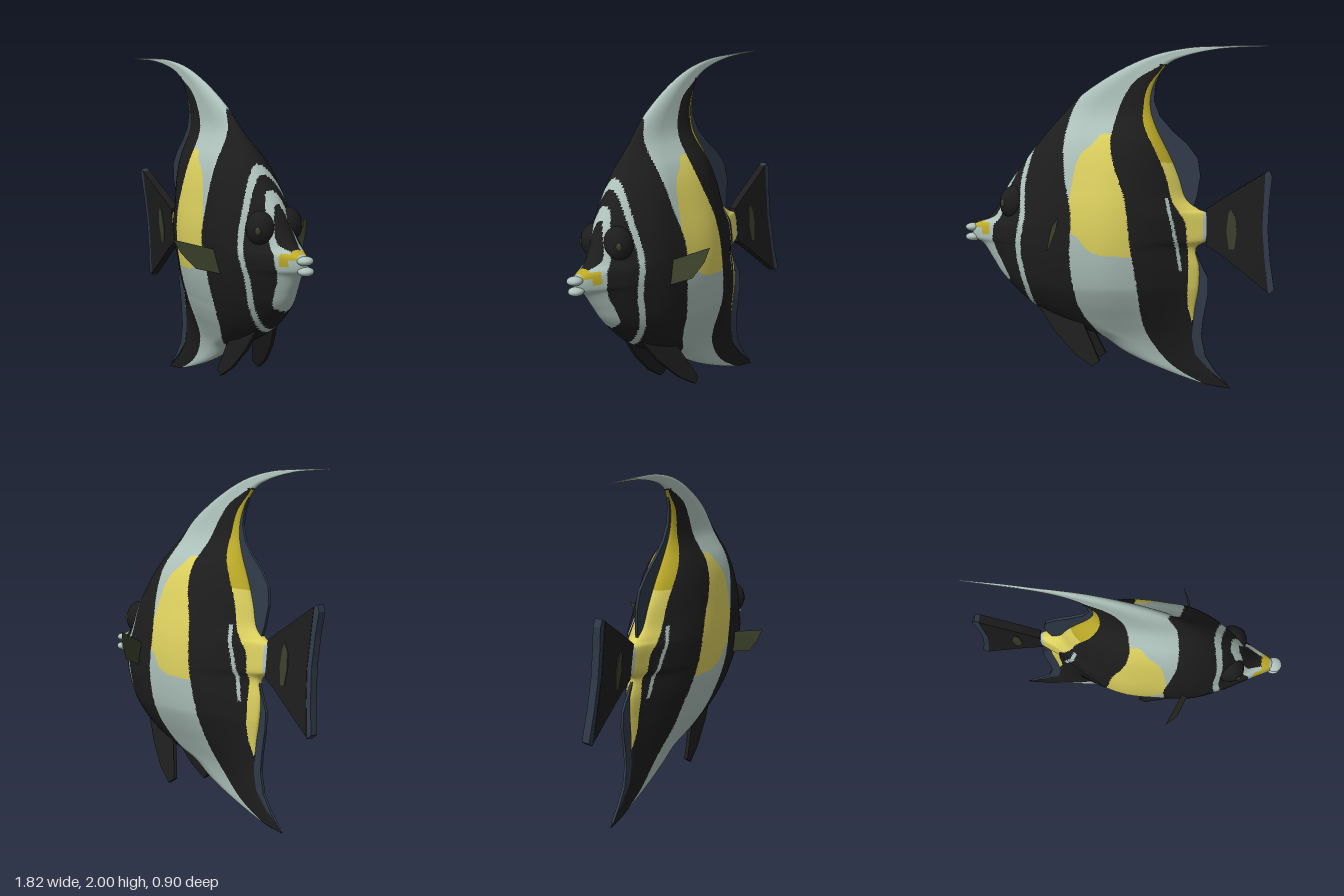
import * as THREE from 'three';

const mat = (name, color, side = THREE.FrontSide) => {
  const m = new THREE.MeshStandardMaterial({ color, side });
  m.name = name;
  return m;
};

// smooth curve through [key, value] pairs, clamped at both ends
function curve(pts) {
  const n = pts.length;
  const slope = i => {
    const a = pts[Math.max(0, i - 1)], b = pts[Math.min(n - 1, i + 1)];
    return (b[1] - a[1]) / (b[0] - a[0]);
  };
  return k => {
    if (k <= pts[0][0]) return pts[0][1];
    if (k >= pts[n - 1][0]) return pts[n - 1][1];
    let i = 0;
    while (k > pts[i + 1][0]) i++;
    const w = pts[i + 1][0] - pts[i][0], t = (k - pts[i][0]) / w, t2 = t * t, t3 = t2 * t;
    return (2 * t3 - 3 * t2 + 1) * pts[i][1] + (t3 - 2 * t2 + t) * w * slope(i)
      + (3 * t2 - 2 * t3) * pts[i + 1][1] + (t3 - t2) * w * slope(i + 1);
  };
}

// the fish is turned and leans a little: x, y on its middle plane, h out of it
const place = (x, y, h) => [
  x - 0.13 * h, y - 0.07 * h,
  -0.067 + 0.13 * x + 0.11 * (Math.max(y, 0.6) - 0.95) + h,
];
function placeAll(geo, offset = () => 0) {
  const p = geo.attributes.position;
  for (let i = 0; i < p.count; i++) {
    const x = p.getX(i), y = p.getY(i);
    p.setXYZ(i, ...place(x, y, p.getZ(i) + offset(x, y)));
  }
  geo.computeVertexNormals();
  return geo;
}

// matching points on the front and rear outline, from dorsal tip to anal fin tip
const FRONT = [[-.87, 2], [-.6, 1.997], [-.4, 1.985], [-.2, 1.94], [0, 1.85], [.2, 1.72], [.32, 1.6], [.45, 1.45],
  [.55, 1.32], [.65, 1.18], [.71, 1.06], [.77, .985], [.86, .94], [.86, .87], [.8, .83], [.74, .74],
  [.67, .64], [.5, .48], [.3, .37], [.1, .3], [-.05, .2], [-.25, .11], [-.5, .025], [-.66, 0]];
const REAR = [[-.87, 1.995], [-.6, 1.98], [-.4, 1.94], [-.28, 1.88], [-.21, 1.76], [-.195, 1.64], [-.23, 1.52], [-.31, 1.36],
  [-.36, 1.24], [-.4, 1.12], [-.47, 1.06], [-.53, 1.03], [-.54, .95], [-.53, .88], [-.46, .83], [-.48, .72],
  [-.475, .6], [-.455, .47], [-.45, .35], [-.46, .25], [-.5, .16], [-.56, .09], [-.63, .03], [-.67, 0]];

// half thickness by height, and its share by length
const thickY = curve([[0, .015], [.1, .028], [.2, .04], [.3, .068], [.4, .115], [.5, .165], [.6, .205], [.75, .24], [.9, .255],
  [1.05, .25], [1.2, .225], [1.35, .19], [1.45, .15], [1.52, .105], [1.58, .07], [1.65, .05], [1.8, .035], [2, .02]]);
const thickX = curve([[-.5, .3], [-.4, .4], [-.3, .6], [-.2, .77], [0, 1], [.2, 1], [.4, .92], [.6, .7], [.7, .54],
  [.8, .42], [.9, .36]]);

// borders of the markings
const trimX = curve([[.4, -.44], [.5, -.42], [.7, -.425], [.85, -.42], [.98, -.41], [1.1, -.34], [1.25, -.3], [1.37, -.25],
  [1.52, -.175], [1.6, -.158], [1.75, -.18], [1.88, -.27]]);
const lineX = curve([[.7, -.385], [.95, -.35], [1.12, -.31]]);
const paleRear = curve([[0, -.6], [.03, -.5], [.13, -.33], [.28, -.21], [.4, -.17], [.6, -.16], [.85, -.13], [1.1, -.1],
  [1.3, -.03], [1.45, 0], [1.6, -.015], [1.7, -.05], [1.8, -.12], [1.88, -.25]]);
const paleFront = curve([[.3, .08], [.33, .1], [.45, .17], [.6, .2], [.8, .21], [1, .2], [1.2, .24], [1.4, .27], [1.6, .26],
  [1.73, .2]]);
const patchFront = curve([[.78, .02], [.81, .1], [.87, .15], [.93, .21], [1.2, .2], [1.35, .165], [1.42, .1], [1.48, .06]]);
const cheekX = curve([[.45, .48], [.6, .5], [.8, .53], [1, .505], [1.2, .515], [1.4, .495], [1.5, .48]]);
const maskOuter = curve([[.6, 0], [.63, .065], [.7, .08], [.8, .08], [.9, .1], [1, .09], [1.1, .08], [1.2, .058],
  [1.27, .03], [1.3, 0]]);
const maskInner = curve([[.965, .03], [1, .06], [1.1, .047], [1.18, .024], [1.22, 0]]);

const BLACK = 0, PALE = 1, YELLOW = 2, GOLD = 3;
function marking(px, py, h) {
  const x = px - 0.13 * h, y = py - 0.07 * h;
  if (y > 1.89) return PALE;
  if (x < -.505 && y > .8 && y < 1.1) return PALE;
  if (y > .4 && y < 1.88 && x < trimX(y)) return y > 1.32 ? GOLD : YELLOW;
  if (y > .7 && y < 1.12 && Math.abs(x - lineX(y)) < .0085) return PALE;
  if (x > paleRear(y) && x < paleFront(y)) return y > .78 && y < 1.48 && x < patchFront(y) ? YELLOW : PALE;
  if (Math.abs(x - cheekX(y)) < .0175) return PALE;
  if (x > .735 && x < .785 && y > .885 && y < .955) return GOLD;
  if (x >= .785 && x < .835 && y > .925) return GOLD;
  if (x > .79) return PALE;
  if (x > .58 && h < maskOuter(y) && !(y > .965 && h < maskInner(y))) return PALE;
  return BLACK;
}

// body and long fins: one loft of closed rings, faces sorted by marking
function bodyGeometry() {
  const toCurve = pts => new THREE.CatmullRomCurve3(pts.map(p => new THREE.Vector3(p[0], p[1], 0)), false, 'catmullrom', 0.5);
  const front = toCurve(FRONT), rear = toCurve(REAR);
  const ROWS = 230, HALF = 150, RING = HALF * 2;
  const pos = [], flat = [], faces = [[], [], [], []];
  for (let i = 0; i <= ROWS; i++) {
    const f = front.getPoint(i / ROWS), b = rear.getPoint(i / ROWS), chord = f.distanceTo(b);
    for (let j = 0; j < RING; j++) {
      const k = (j <= HALF ? j : RING - j) / HALF;
      const t = 0.5 * k + 0.25 * (1 - Math.cos(Math.PI * k));
      const x = b.x + (f.x - b.x) * t, y = b.y + (f.y - b.y) * t;
      const edge = Math.min(1, Math.min(t, 1 - t) / 0.3);
      const h = Math.min(thickY(y) * thickX(x), chord * 0.5) * Math.sqrt(1 - (1 - edge) ** 2);
      pos.push(...place(x, y, j <= HALF ? h : -h));
      flat.push([x, y, h]);
    }
  }
  const tri = (...v) => {
    const mid = [0, 1, 2].map(c => (flat[v[0]][c] + flat[v[1]][c] + flat[v[2]][c]) / 3);
    faces[marking(...mid)].push(...v);
  };
  for (let i = 0; i < ROWS; i++) for (let j = 0; j < RING; j++) {
    const a = i * RING + j, b = i * RING + (j + 1) % RING, c = a + RING, d = b + RING;
    tri(c, d, b);
    tri(c, b, a);
  }
  const geo = new THREE.BufferGeometry();
  geo.setAttribute('position', new THREE.Float32BufferAttribute(pos, 3));
  geo.setIndex(faces.flat());
  let start = 0;
  faces.forEach((list, m) => { geo.addGroup(start, list.length, m); start += list.length; });
  geo.computeVertexNormals();
  return geo;
}

export function createModel() {
  const black = mat('black', 0x1d1d1d), pale = mat('pale grey', 0xadc1ba), yellow = mat('yellow', 0xdcd05e),
    gold = mat('gold', 0xbdab28), navy = mat('navy', 0x303a49), olive = mat('olive', 0x3b402b, THREE.DoubleSide);
  const fish = new THREE.Group();
  fish.name = 'reefFish';
  const add = (name, geo, material) => {
    const mesh = new THREE.Mesh(geo, material);
    mesh.name = name;
    fish.add(mesh);
  };
  const plate = (name, pts, depth, material, offset) => {
    const geo = new THREE.ExtrudeGeometry(new THREE.Shape(pts.map(p => new THREE.Vector2(...p))), { depth, bevelEnabled: false });
    add(name, placeAll(geo.translate(0, 0, -depth / 2), offset), material);
  };
  const ball = (name, [x, y, h], [sx, sy, sz], material) =>
    add(name, placeAll(new THREE.SphereGeometry(1, 24, 16).scale(sx, sy, sz).translate(x, y, h)), material);

  add('body', bodyGeometry(), [black, pale, yellow, gold]);

  // soft rear edges of the dorsal and anal fins
  plate('dorsalFringe', [[-.25, 1.84], [-.222, 1.77], [-.215, 1.68], [-.25, 1.59], [-.32, 1.51], [-.41, 1.43], [-.47, 1.35],
    [-.485, 1.25], [-.465, 1.13], [-.44, 1.05], [-.36, 1.15], [-.3, 1.33], [-.2, 1.54], [-.18, 1.66], [-.2, 1.77]], .016, navy);
  plate('analFringe', [[-.45, .83], [-.49, .74], [-.53, .66], [-.53, .56], [-.505, .42], [-.495, .31], [-.52, .19], [-.58, .1],
    [-.65, .02], [-.55, .1], [-.46, .2], [-.43, .35], [-.42, .6]], .016, navy);

  // tail fin with trailing edge and spot
  plate('tailFin', [[-.52, 1.06], [-.6, 1.115], [-.72, 1.19], [-.855, 1.275], [-.848, 1.12], [-.84, .95], [-.853, .77],
    [-.875, .585], [-.74, .69], [-.6, .8], [-.52, .85]], .05, black);
  plate('tailEdge', [[-.855, 1.275], [-.88, 1.29], [-.895, 1.25], [-.88, 1.12], [-.872, .95], [-.885, .77], [-.91, .6],
    [-.875, .575], [-.853, .77], [-.84, .95], [-.848, 1.12]], .045, navy);
  for (const s of [-1, 1])
    plate('tailSpot', [[-.66, 1.06], [-.685, 1.02], [-.695, .93], [-.68, .83], [-.65, .83], [-.635, .93], [-.645, 1.03]],
      .006, olive, () => s * .026);

  for (const s of [-1, 1]) {
    const side = s > 0 ? 'left' : 'right';
    // side fin, a thin slanting fan
    const fan = [[.36, .94, .2], [.40, .86, .2], [.385, .805, .2], [.33, .86, .36], [.285, .95, .42], [.265, 1.03, .45]];
    const geo = new THREE.BufferGeometry();
    geo.setAttribute('position', new THREE.Float32BufferAttribute(fan.flatMap(([x, y, h]) => [x, y, s * h]), 3));
    geo.setIndex([0, 1, 2, 0, 2, 3, 0, 3, 4, 0, 4, 5]);
    add(side + 'PectoralFin', placeAll(geo), olive);
    // belly fin, the right one spread wider
    const spread = s > 0 ? .1 : .35;
    plate(side + 'PelvicFin', [[.46, .48], [.36, .47], [.2, .41], [.15, .31], [.08, .17], [.12, .14], [.23, .21], [.36, .34]],
      .022, black, (x, y) => s * (.06 + spread * Math.max(0, .46 - y)));
    // brow and eye
    ball(side + 'Brow', [.595, 1.08, s * .085], [.085, .1, .082], black);
    ball(side + 'Eye', [.645, 1.08, s * .138], [.02, .026, .016], olive);
  }

  // parted lips
  ball('upperLip', [.866, .925, 0], [.044, .025, .045], pale);
  ball('lowerLip', [.864, .867, 0], [.046, .025, .043], pale);
  return fish;
}
